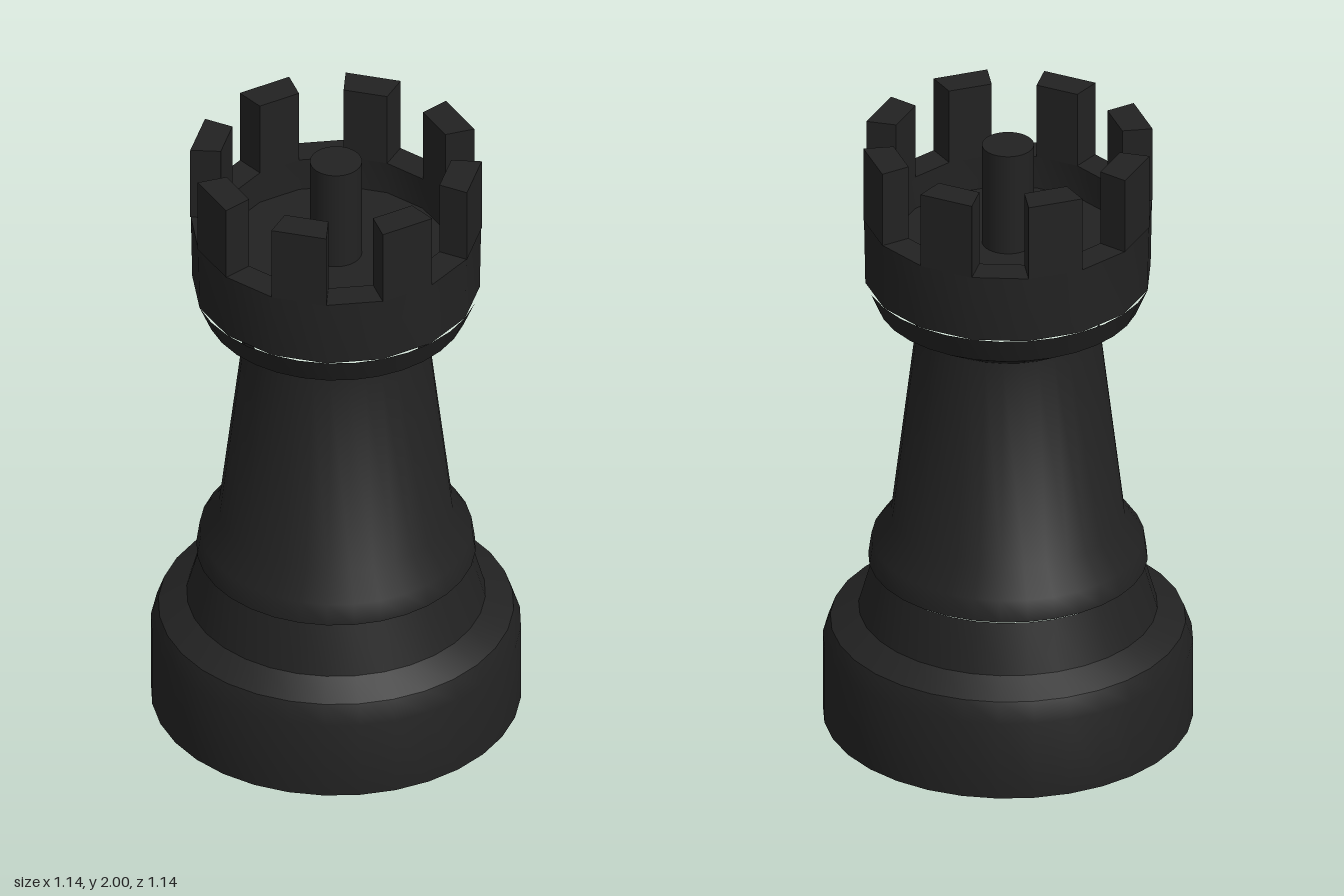
import * as THREE from 'three';
import { toCreasedNormals } from 'three/addons/utils/BufferGeometryUtils.js';

const STEP = Math.PI / 8; // the crown has sixteen sides

function lathe(points, sides) {
  const profile = points.map(([r, y]) => new THREE.Vector2(r, y));
  return toCreasedNormals(new THREE.LatheGeometry(profile, sides), 0.6);
}

// One side of the crown's ring, raised into a block
function merlonGeometry(inner, outer, height) {
  const at = (r, a) => new THREE.Vector2(r * Math.sin(a), -r * Math.cos(a));
  const shape = new THREE.Shape([at(inner, -STEP), at(outer, -STEP), at(outer, 0), at(inner, 0)]);
  const geometry = new THREE.ExtrudeGeometry(shape, { depth: height, bevelEnabled: false });
  return geometry.rotateX(-Math.PI / 2);
}

export function createModel() {
  const model = new THREE.Group();
  model.name = 'rook';
  const black = new THREE.MeshStandardMaterial({ color: 0x222222 });
  black.name = 'black';

  const add = (name, geometry, parent = model) => {
    const mesh = new THREE.Mesh(geometry, black);
    mesh.name = name;
    parent.add(mesh);
    return mesh;
  };

  // Wide foot with a sloping shoulder
  add('base', lathe([
    [0, 0], [0.57, 0], [0.57, 0.26], [0.547, 0.325], [0.46, 0.37], [0.415, 0.53],
  ], 32));

  // Collar and tapering shaft
  add('shaft', lathe([
    [0.41, 0.53], [0.43, 0.54], [0.42, 0.61], [0.36, 0.695], [0.28, 1.365],
  ], 32));

  // Flared head
  add('head', lathe([
    [0.28, 1.365], [0.405, 1.44], [0.443, 1.53],
  ], 32));

  // Crown wall, rim and sunken floor
  add('crown', lathe([
    [0.443, 1.53], [0.447, 1.75], [0.355, 1.75], [0.355, 1.64], [0, 1.64],
  ], 16));

  // Eight blocks on alternate sides
  const battlements = new THREE.Group();
  battlements.name = 'battlements';
  model.add(battlements);
  const block = merlonGeometry(0.355, 0.449, 0.25);
  for (let i = 0; i < 8; i++) {
    const merlon = add('merlon', block, battlements);
    merlon.position.y = 1.75;
    merlon.rotation.y = i * 2 * STEP;
  }

  // Post standing in the middle of the floor
  const post = add('centrePost', new THREE.CylinderGeometry(0.08, 0.08, 0.34, 32));
  post.position.y = 1.81;

  return model;
}
